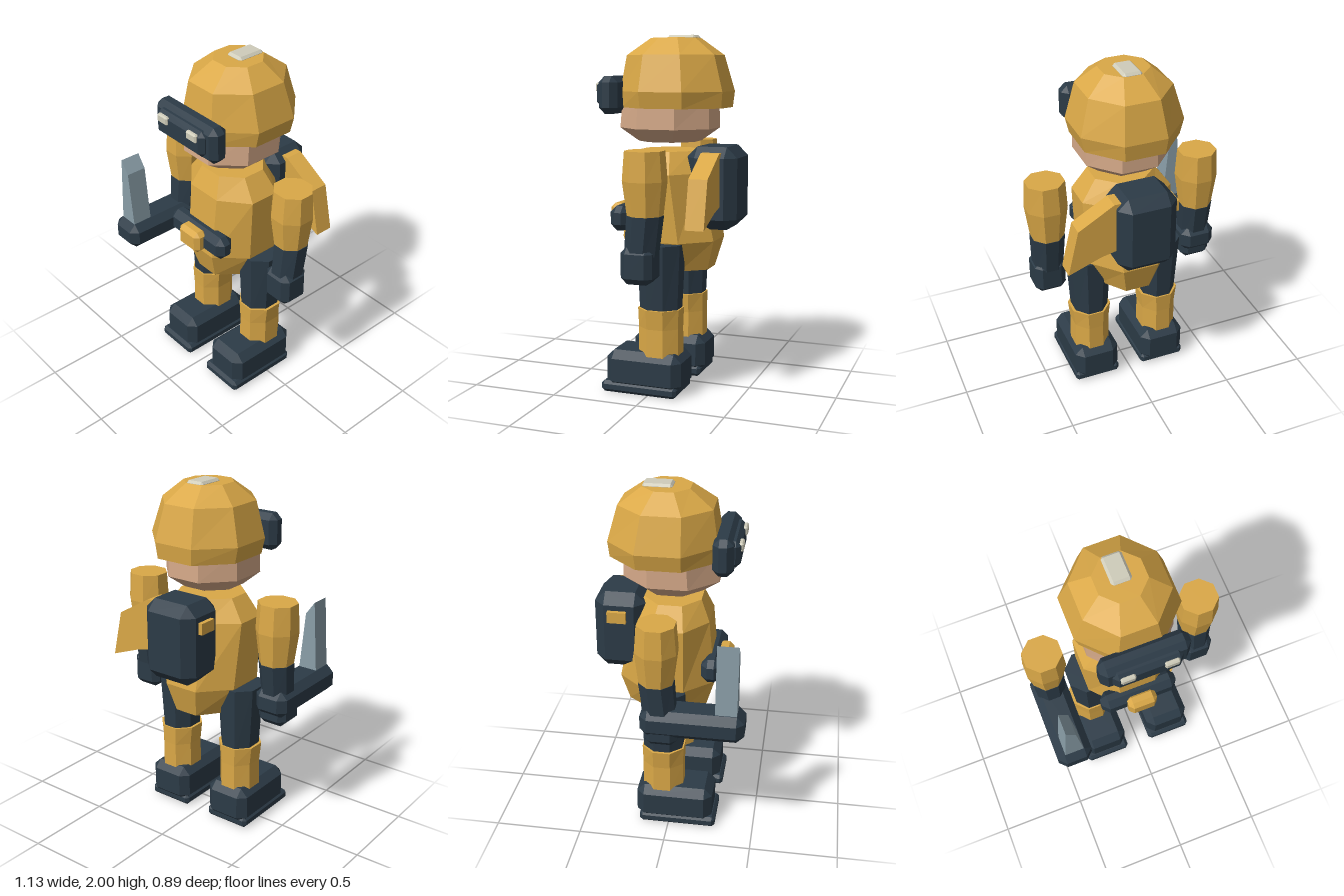
import * as THREE from 'three';
import { ConvexGeometry } from 'three/addons/geometries/ConvexGeometry.js';

function paint(name, color) {
  const m = new THREE.MeshStandardMaterial({ color });
  m.name = name;
  return m;
}

// Eight-sided loft; each ring is [y, half width, half depth, centre z, centre x]
function loft(rings) {
  const pts = [], idx = [], n = 8;
  for (const [y, w, d, cz = 0, cx = 0] of rings) {
    for (let i = 0; i < n; i++) {
      const a = (i + 0.5) * Math.PI / 4, k = 1 / Math.cos(Math.PI / 8);
      pts.push(cx + w * k * Math.sin(a), y, cz + d * k * Math.cos(a));
    }
  }
  for (let r = 0; r < rings.length - 1; r++) {
    for (let i = 0; i < n; i++) {
      const a = r * n + i, b = r * n + (i + 1) % n;
      idx.push(a, b, b + n, a, b + n, a + n);
    }
  }
  const top = (rings.length - 1) * n;
  for (let i = 1; i < n - 1; i++) idx.push(0, i + 1, i, top, top + i, top + i + 1);
  const g = new THREE.BufferGeometry();
  g.setAttribute('position', new THREE.Float32BufferAttribute(pts, 3));
  g.setIndex(idx);
  const flat = g.toNonIndexed();
  flat.computeVertexNormals();
  return flat;
}

// Box with chamfered edges, given its limits on each axis
function chamferBox([x0, x1], [y0, y1], [z0, z1], c) {
  const h = [(x1 - x0) / 2, (y1 - y0) / 2, (z1 - z0) / 2];
  const pts = [];
  for (const sx of [-1, 1]) for (const sy of [-1, 1]) for (const sz of [-1, 1]) {
    for (let axis = 0; axis < 3; axis++) {
      const e = h.map((v, i) => (i === axis ? v : v - c));
      pts.push(new THREE.Vector3(sx * e[0], sy * e[1], sz * e[2]));
    }
  }
  return new ConvexGeometry(pts).translate((x0 + x1) / 2, (y0 + y1) / 2, (z0 + z1) / 2);
}

// Outline in x and y, extruded from z0 to z1
function slab(points, z0, z1) {
  const shape = new THREE.Shape(points.map(([x, y]) => new THREE.Vector2(x, y)));
  return new THREE.ExtrudeGeometry(shape, { depth: z1 - z0, bevelEnabled: false }).translate(0, 0, z0);
}

export function createModel() {
  const gold = paint('gold', 0xdaa847);
  const navy = paint('dark slate', 0x2c3b47);
  const skin = paint('skin', 0xd6aa89);
  const ivory = paint('ivory', 0xcfccba);
  const steel = paint('steel', 0x8a9ea8);

  const model = new THREE.Group();
  model.name = 'robotFigure';
  const add = (name, geometry, material) => {
    const mesh = new THREE.Mesh(geometry, material);
    mesh.name = name;
    model.add(mesh);
  };

  // Head and helmet
  add('head', loft([
    [1.41, 0.16, 0.165, -0.015], [1.485, 0.245, 0.265, -0.015], [1.65, 0.245, 0.255, -0.02],
  ]), skin);
  add('helmet', loft([
    [1.6, 0.272, 0.293, -0.058], [1.69, 0.293, 0.3, -0.06],
    [1.89, 0.237, 0.257, -0.048], [1.985, 0.13, 0.13, -0.05],
  ]), gold);
  add('helmetCrest', chamferBox([-0.055, 0.055], [1.96, 2], [-0.18, -0.015], 0.013), ivory);

  // Goggles
  add('goggleFrame', chamferBox([-0.245, 0.245], [1.565, 1.775], [0.22, 0.333], 0.035), navy);
  add('gogglePlate', chamferBox([-0.19, 0.19], [1.602, 1.75], [0.29, 0.365], 0.027), navy);
  for (const s of [-1, 1]) {
    add('goggleLight', chamferBox([s * 0.118 - 0.04, s * 0.118 + 0.04], [1.688, 1.737], [0.35, 0.378], 0.008), ivory);
  }

  // Torso, belt and buckle
  add('torso', loft([
    [0.69, 0.17, 0.225, -0.04], [0.86, 0.25, 0.272, -0.038],
    [1.24, 0.265, 0.215, -0.015], [1.36, 0.178, 0.16, -0.01],
  ]), gold);
  add('belt', chamferBox([-0.225, 0.225], [0.905, 1.047], [0.165, 0.277], 0.037), navy);
  add('buckle', chamferBox([-0.085, 0.085], [0.91, 1.043], [0.24, 0.327], 0.025), gold);

  // Backpack with a side flap and a short stub
  add('backpack', chamferBox([-0.17, 0.17], [0.93, 1.39], [-0.445, -0.155], 0.06), navy);
  add('backpackFlap', slab(
    [[0.1, 1.08], [0.26, 1.045], [0.445, 0.975], [0.385, 1.24], [0.18, 1.36], [0.1, 1.36]], -0.363, -0.257), gold);
  add('backpackStub', slab([[-0.195, 1.235], [-0.1, 1.235], [-0.1, 1.3], [-0.195, 1.3]], -0.363, -0.257), gold);

  for (const s of [-1, 1]) {
    // Arms
    const x = s * 0.455;
    add('upperArm', loft([
      [1.02, 0.086, 0.088, -0.04, x], [1.23, 0.112, 0.112, -0.038, x], [1.39, 0.104, 0.1, -0.038, x],
    ]), gold);
    add('forearm', loft([
      [0.83, 0.082, 0.088, -0.018, x], [1.045, 0.092, 0.093, -0.04, x],
    ]), navy);
    add('hand', chamferBox([x - 0.09, x + 0.09], [0.677, 0.88], [-0.1, 0.08], 0.035), navy);

    // Legs
    const lx = s * 0.217;
    add('thigh', loft([
      [0.45, 0.098, 0.11, -0.04, lx], [0.855, 0.122, 0.126, -0.042, lx],
    ]), navy);
    add('shin', loft([
      [0.22, 0.106, 0.118, -0.04, lx], [0.38, 0.104, 0.117, -0.04, lx], [0.49, 0.116, 0.12, -0.04, lx],
    ]), gold);

    // Boots
    const bx = s * 0.213;
    add('boot', chamferBox([bx - 0.135, bx + 0.135], [0.02, 0.242], [-0.19, 0.255], 0.045), navy);
    add('sole', chamferBox([bx - 0.138, bx + 0.138], [0, 0.065], [-0.172, 0.277], 0.018), navy);
  }

  // Blade and its grip, held in the right hand
  add('bladeGrip', chamferBox([-0.56, -0.357], [0.735, 0.895], [-0.125, 0.445], 0.042), navy);
  add('blade', slab([[-0.515, 0.87], [-0.4, 0.87], [-0.433, 1.225], [-0.487, 1.3]], 0.285, 0.403), steel);

  return model;
}
